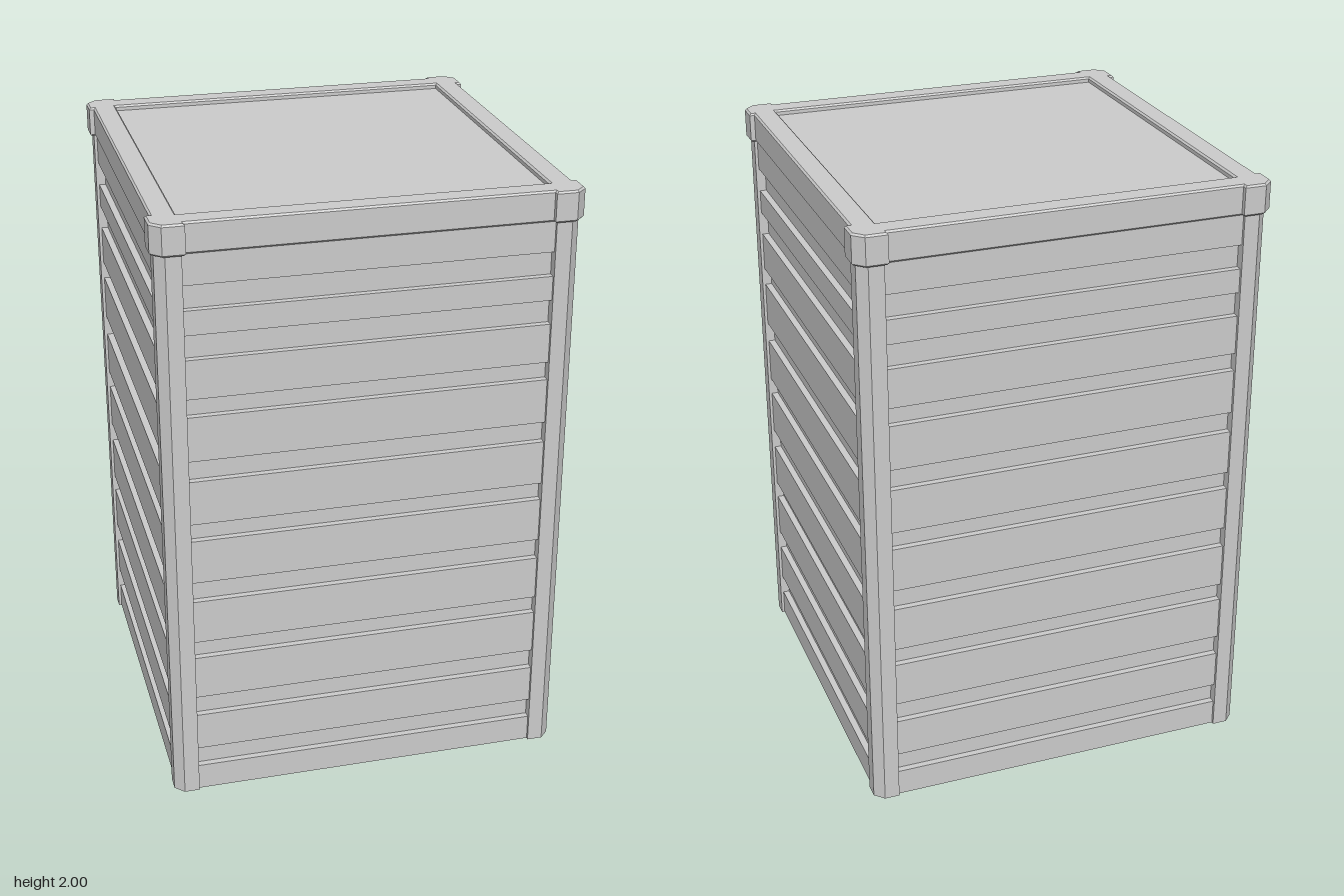
import * as THREE from 'three';

const H = 1.9;          // height of walls and posts
const PANEL = 0.58;     // half width of a wall panel
const BOARD = 0.65;     // distance of the boards from the centre
const GROOVE = 0.628;   // distance of the groove floors from the centre
const grooves = [[0.09, 0.16], [0.29, 0.36], [0.51, 0.57], [0.72, 0.79], [0.94, 1.0],
  [1.15, 1.22], [1.37, 1.43], [1.56, 1.64], [1.72, 1.8]];

const material = new THREE.MeshStandardMaterial({ color: 0xcccccc, flatShading: true });
const sheetMaterial = new THREE.MeshStandardMaterial({
  color: 0xcccccc, flatShading: true, side: THREE.DoubleSide });

function toShape(points) {
  return new THREE.Shape(points.map(([x, y]) => new THREE.Vector2(x, y)));
}

// Thin wall sheet: plane rows follow the stepped board profile from the top down
function wallGeometry() {
  const rows = [[0, BOARD]];
  for (const [a, b] of grooves) rows.push([a, BOARD], [a, GROOVE], [b, GROOVE], [b, BOARD]);
  rows.push([H, BOARD]);
  rows.reverse();
  const plane = new THREE.PlaneGeometry(2 * PANEL, H, 1, rows.length - 1);
  const pos = plane.attributes.position;
  rows.forEach(([y, z], i) => {
    for (let k = 0; k < 2; k++) pos.setXYZ(2 * i + k, k ? PANEL : -PANEL, y, z);
  });
  const geometry = plane.toNonIndexed();
  geometry.computeVertexNormals();
  return geometry;
}

// Chamfered corner post standing in the +x +z corner
function postGeometry() {
  const shape = toShape([[0.58, -0.66], [0.63, -0.66], [0.66, -0.63],
    [0.66, -0.58], [GROOVE, -0.58], [0.58, -GROOVE]]);
  const geometry = new THREE.ExtrudeGeometry(shape, { depth: H, bevelEnabled: false });
  return geometry.rotateX(-Math.PI / 2);
}

// Lid rim with thicker chamfered corners and a square opening
function rimGeometry() {
  const outer = 0.673, side = 0.657, arm = 0.57, cut = 0.64, bevel = 0.006;
  const corner = [[side, arm], [outer, arm], [outer, cut], [cut, outer], [arm, outer], [arm, side]];
  const points = [];
  for (let i = 0; i < 4; i++) {
    const c = Math.round(Math.cos(i * Math.PI / 2)), s = Math.round(Math.sin(i * Math.PI / 2));
    for (const [x, y] of corner) points.push([c * x - s * y, s * x + c * y]);
  }
  const shape = toShape(points);
  shape.holes.push(toShape([[-PANEL, -PANEL], [-PANEL, PANEL], [PANEL, PANEL], [PANEL, -PANEL]]));
  const geometry = new THREE.ExtrudeGeometry(shape, {
    depth: 0.1 - 2 * bevel, bevelThickness: bevel, bevelSize: bevel,
    bevelOffset: -bevel, bevelSegments: 1 });
  return geometry.rotateX(-Math.PI / 2).translate(0, H + bevel, 0);
}

export function createModel() {
  const model = new THREE.Group();
  model.name = 'slattedBin';
  const add = (name, geometry, mat = material) => {
    const mesh = new THREE.Mesh(geometry, mat);
    mesh.name = name;
    model.add(mesh);
    return mesh;
  };

  // Four equal walls and corner posts
  const wall = wallGeometry(), post = postGeometry();
  const sides = ['front', 'left', 'back', 'right'];
  const corners = ['frontLeft', 'backLeft', 'backRight', 'frontRight'];
  for (let i = 0; i < 4; i++) {
    add(sides[i] + 'Wall', wall, sheetMaterial).rotation.y = i * Math.PI / 2;
    add(corners[i] + 'Post', post).rotation.y = i * Math.PI / 2;
  }

  // Lid: raised rim around a slightly sunken panel
  add('lidRim', rimGeometry());
  const panel = new THREE.BoxGeometry(2 * PANEL + 0.01, 0.02, 2 * PANEL + 0.01);
  add('lidPanel', panel).position.y = 1.972;

  return model;
}
